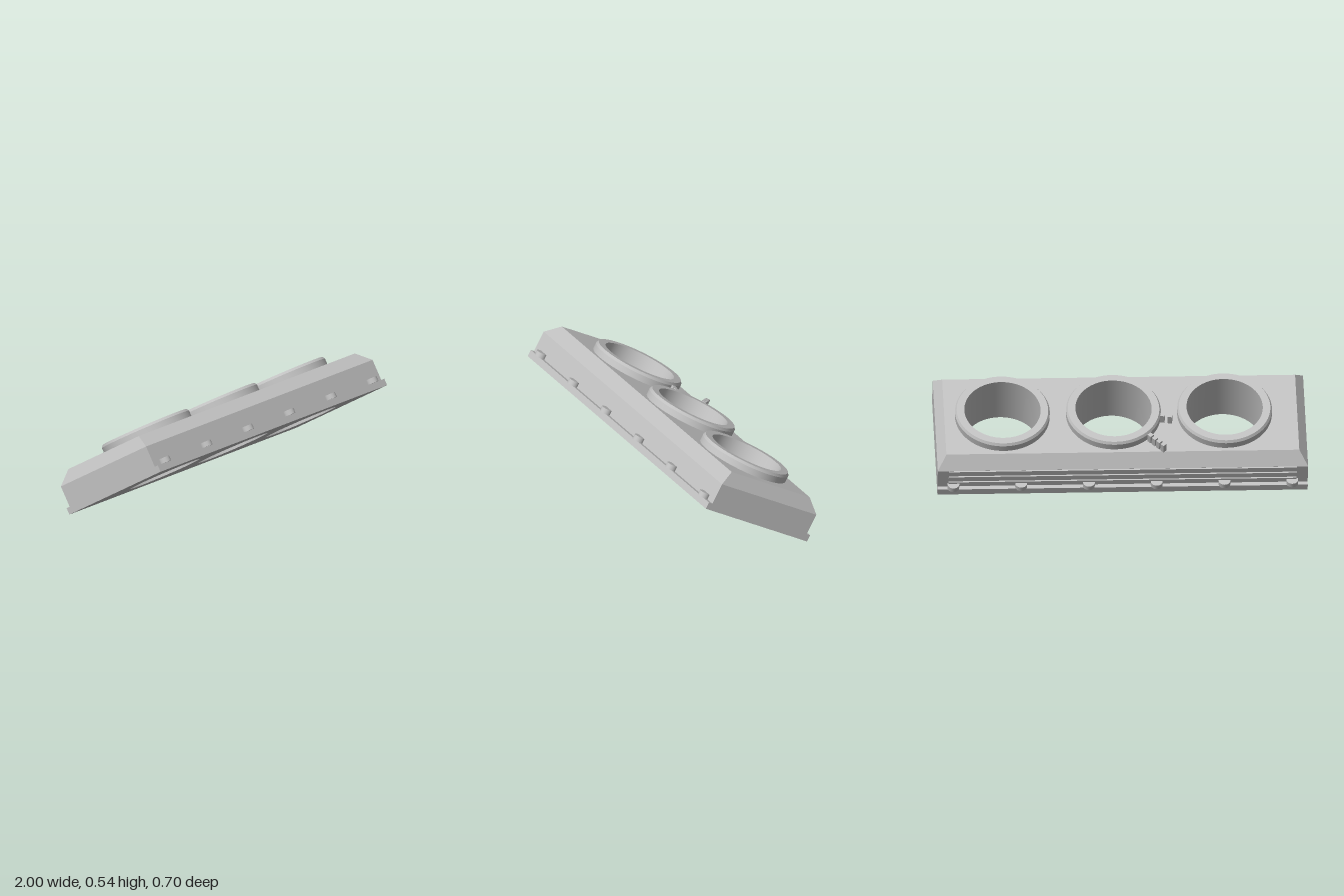
import * as THREE from 'three';
import { toCreasedNormals } from 'three/addons/utils/BufferGeometryUtils.js';

const HOLES = [-0.56, 0.04, 0.64]; // x of the three round openings
const BORE = 0.206;

// Rectangular shells [halfX, halfZ, y] joined from bottom to top
function loft(rings) {
  const corners = ([x, z, y]) => [[x, y, z], [x, y, -z], [-x, y, -z], [-x, y, z]];
  const pos = [];
  for (let r = 0; r < rings.length - 1; r++) {
    const lo = corners(rings[r]), hi = corners(rings[r + 1]);
    for (let i = 0; i < 4; i++) {
      const j = (i + 1) % 4;
      pos.push(...lo[i], ...lo[j], ...hi[j], ...lo[i], ...hi[j], ...hi[i]);
    }
  }
  const geo = new THREE.BufferGeometry();
  geo.setAttribute('position', new THREE.Float32BufferAttribute(pos, 3));
  geo.computeVertexNormals();
  return geo;
}

// Flat rectangle with the three round openings
function piercedPlate(hx, hz) {
  const shape = new THREE.Shape();
  shape.moveTo(-hx, -hz).lineTo(hx, -hz).lineTo(hx, hz).lineTo(-hx, hz).closePath();
  for (const x of HOLES) {
    shape.holes.push(new THREE.Path().absarc(x, 0, BORE, 0, Math.PI * 2, true));
  }
  return new THREE.ShapeGeometry(shape, 32);
}

export function createModel() {
  const model = new THREE.Group();
  const tilted = new THREE.Group();
  tilted.name = 'tiltedPanel';
  tilted.rotation.x = -Math.PI / 6;
  tilted.position.set(0, 0.1795, 0.036);
  model.add(tilted);

  const grey = new THREE.MeshStandardMaterial({ color: 0xc0c0c0 });
  grey.name = 'light grey';

  const add = (name, geo, x = 0, y = 0, z = 0) => {
    const mesh = new THREE.Mesh(geo, grey);
    mesh.name = name;
    mesh.position.set(x, y, z);
    tilted.add(mesh);
    return mesh;
  };

  // Housing: bottom flange, straight walls and bevelled top
  add('housingWalls', loft([
    [1, 0.359, 0], [1, 0.359, 0.038], [1, 0.335, 0.038], [1, 0.335, 0.157], [0.953, 0.277, 0.227],
  ]));
  add('housingTop', piercedPlate(0.953, 0.277).rotateX(-Math.PI / 2), 0, 0.227);
  add('housingBottom', piercedPlate(1, 0.359).rotateX(Math.PI / 2));

  // Raised collars whose bores run through the housing
  const profile = [
    [0.256, 0.227], [0.256, 0.263], [0.247, 0.277], [BORE, 0.277], [BORE, 0],
  ].map(([r, y]) => new THREE.Vector2(r, y));
  const collar = toCreasedNormals(new THREE.LatheGeometry(profile, 64), 0.4);
  for (const x of HOLES) add('collar', collar, x);

  // Round bolt heads along both flanges
  const bolt = new THREE.CylinderGeometry(0.032, 0.032, 0.028, 24);
  for (const side of [-1, 1]) {
    for (let i = 0; i < 6; i++) add('boltHead', bolt, -0.916 + i * 0.366, 0.052, side * 0.346);
  }

  // Long ribs across the back wall
  const rib = new THREE.BoxGeometry(1.88, 0.013, 0.016);
  for (const y of [0.07, 0.11, 0.15]) add('backRib', rib, 0, y, -0.335);

  // Two short rows of small studs leading away from the middle collar
  const stud = new THREE.BoxGeometry(0.024, 0.05, 0.024);
  const row = (angle, radii) => {
    for (const r of radii) {
      const s = add('stud', stud, HOLES[1] - Math.cos(angle) * r, 0.252, -Math.sin(angle) * r);
      s.rotation.y = -angle;
    }
  };
  row(0.8, [0.276, 0.308, 0.34, 0.372]);
  row(0.19, [0.268, 0.308]);

  return model;
}
